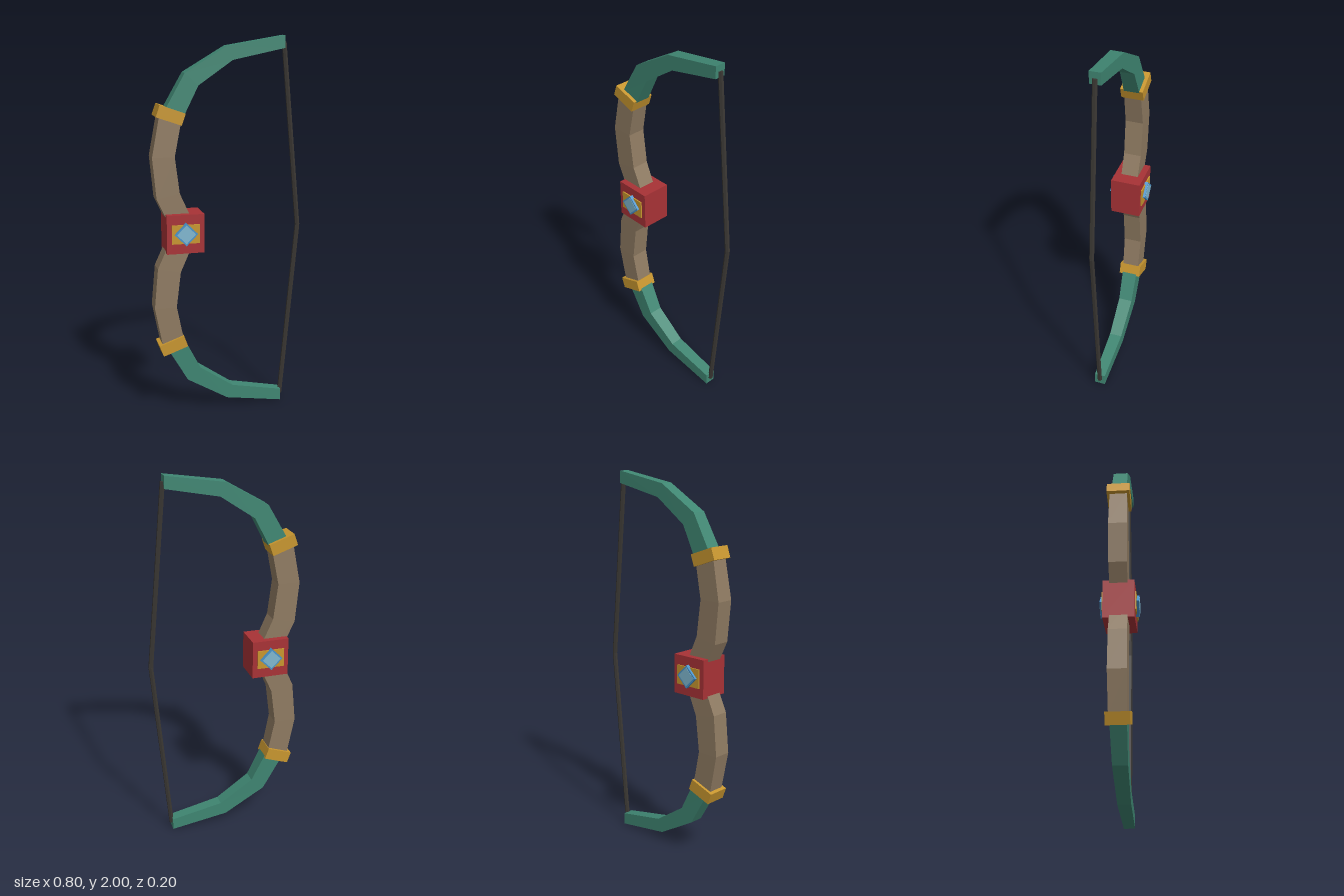
import * as THREE from 'three';

const mat = (name, color, flatShading = false) => {
  const m = new THREE.MeshStandardMaterial({ color, flatShading });
  m.name = name;
  return m;
};

// Rectangular loft; each section is [outerX, outerY, innerX, innerY, halfDepth],
// with y measured from the grip. side = -1 mirrors it downwards.
function loft(sections, side) {
  const list = side > 0 ? sections : [...sections].reverse();
  const pos = [], idx = [];
  for (const [ox, oy, ix, iy, d] of list) {
    const a = 1 + side * oy, b = 1 + side * iy;
    pos.push(ox, a, d, ix, b, d, ix, b, -d, ox, a, -d);
  }
  const quad = (a, b, c, d) => idx.push(a, b, c, a, c, d);
  for (let s = 0; s < list.length - 1; s++) {
    for (let j = 0; j < 4; j++) {
      const k = (j + 1) % 4, p = s * 4, q = p + 4;
      quad(p + j, p + k, q + k, q + j);
    }
  }
  const e = (list.length - 1) * 4;
  quad(3, 2, 1, 0);
  quad(e, e + 1, e + 2, e + 3);
  const g = new THREE.BufferGeometry();
  g.setAttribute('position', new THREE.Float32BufferAttribute(pos, 3));
  g.setIndex(idx);
  const flat = g.toNonIndexed();
  flat.computeVertexNormals();
  return flat;
}

export function createModel() {
  const wood = mat('brown wood', 0x8f7b62);
  const green = mat('green limb', 0x3f8672);
  const gold = mat('gold', 0xc8962f);
  const red = mat('red grip', 0xa83236);
  const dark = mat('dark string', 0x3a3733, true);
  const blue = mat('blue gem edge', 0x4a94cc);
  const pale = mat('pale gem face', 0x80b8d0);

  const model = new THREE.Group();
  model.name = 'bow';
  const add = (name, geometry, material, x = 0, y = 0, z = 0, rz = 0) => {
    const m = new THREE.Mesh(geometry, material);
    m.name = name;
    m.position.set(x, y, z);
    m.rotation.z = rz;
    model.add(m);
    return m;
  };
  const box = (w, h, d) => new THREE.BoxGeometry(w, h, d);

  const woodSections = [
    [-0.30, 0, -0.17, 0, 0.045],
    [-0.385, 0.185, -0.264, 0.21, 0.047],
    [-0.405, 0.40, -0.288, 0.40, 0.048],
    [-0.365, 0.61, -0.252, 0.58, 0.045],
  ];
  const tipSections = [
    [-0.342, 0.625, -0.245, 0.59, 0.042],
    [-0.23, 0.82, -0.16, 0.757, 0.038],
    [-0.01, 0.95, 0.02, 0.88, 0.034],
    [0.298, 1.0, 0.298, 0.936, 0.029],
  ];

  // Upper and lower limbs, bands and string halves
  for (const s of [1, -1]) {
    const label = s > 0 ? 'upper' : 'lower';
    add(label + 'WoodLimb', loft(woodSections, s), wood);
    add(label + 'LimbTip', loft(tipSections, s), green);
    add(label + 'Band', box(0.14, 0.063, 0.12), gold, -0.308, 1 + s * 0.613, 0, -s * 0.34);

    const a = new THREE.Vector3(0.388, 1, 0);
    const b = new THREE.Vector3(0.3, 1 + s * 0.967, 0);
    const dir = b.clone().sub(a);
    const string = add(label + 'String',
      new THREE.CylinderGeometry(0.013, 0.013, dir.length(), 6), dark, 0.344, 1 + s * 0.4835);
    string.rotation.z = Math.atan2(-dir.x, dir.y);
  }

  // Grip block with a plate and gem on both faces
  add('grip', box(0.198, 0.205, 0.16), red, -0.242, 1.002);
  for (const s of [1, -1]) {
    const label = s > 0 ? 'front' : 'back';
    add(label + 'Plate', box(0.147, 0.1, 0.008), gold, -0.242, 1.003, s * 0.083);
    add(label + 'Gem', box(0.086, 0.086, 0.02), blue, -0.242, 1.004, s * 0.089, Math.PI / 4);
    add(label + 'GemFace', box(0.07, 0.07, 0.002), pale, -0.242, 1.004, s * 0.0995, Math.PI / 4);
  }
  return model;
}
